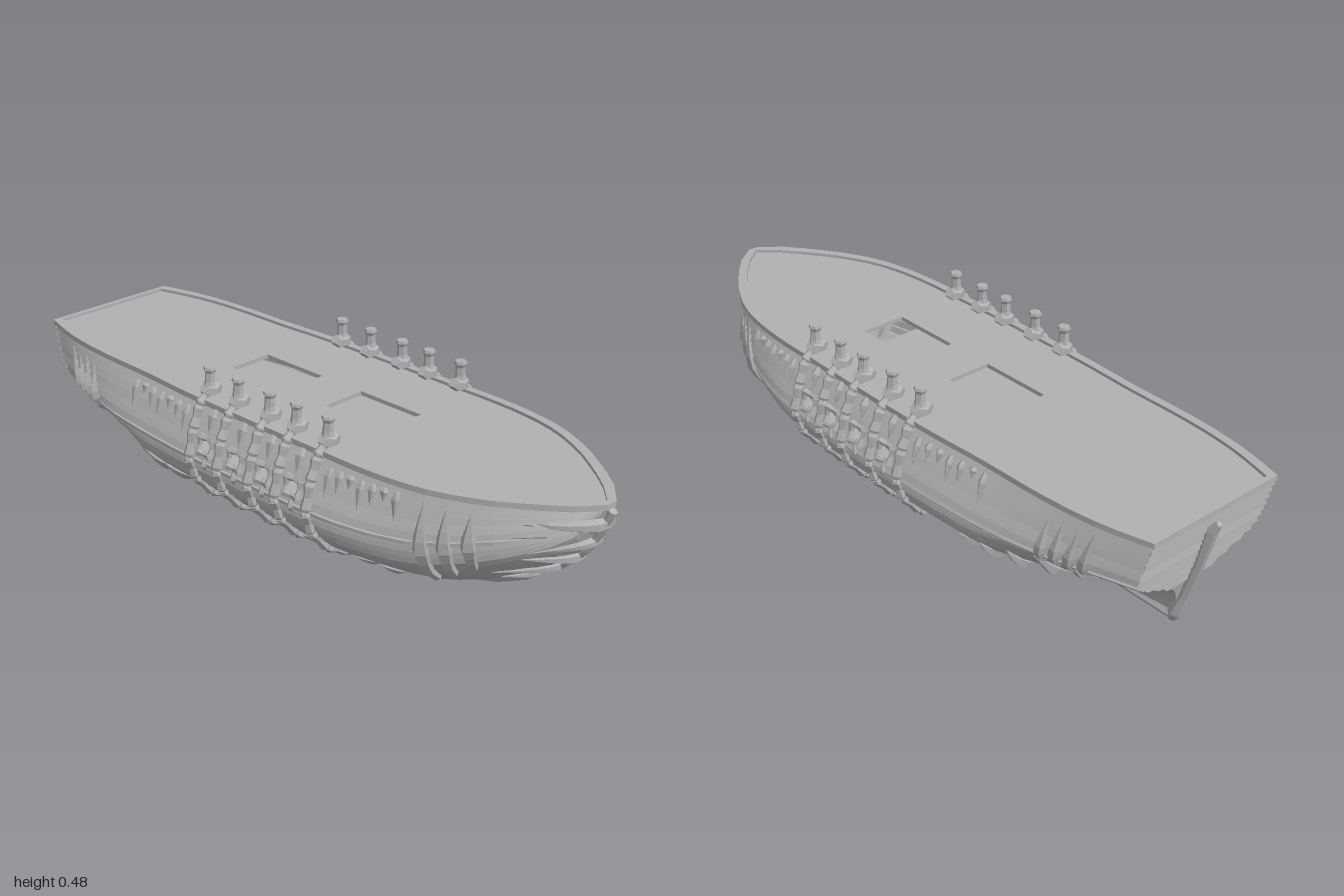
import * as THREE from 'three';

const V = (x, y, z) => new THREE.Vector3(x, y, z);
const TOP = 0.4;
const step = (a, b, x) => { const t = Math.min(1, Math.max(0, (x - a) / (b - a))); return t * t * (3 - 2 * t); };

// Smooth lookup through [key, value] pairs
function look(table, x) {
  const n = table.length - 1;
  if (x <= table[0][0]) return table[0][1];
  if (x >= table[n][0]) return table[n][1];
  let i = 0;
  while (x > table[i + 1][0]) i++;
  const slope = (j) => {
    const a = table[Math.max(0, j - 1)], b = table[Math.min(n, j + 1)];
    return (b[1] - a[1]) / (b[0] - a[0]);
  };
  const [x0, y0] = table[i], [x1, y1] = table[i + 1], h = x1 - x0, t = (x - x0) / h;
  const t2 = t * t, t3 = t2 * t;
  return y0 * (2 * t3 - 3 * t2 + 1) + y1 * (3 * t2 - 2 * t3) + h * (slope(i) * (t3 - 2 * t2 + t) + slope(i + 1) * (t3 - t2));
}

// Hull lines: half breadth and keel height along z, section shapes from keel (0) to rail (1)
const breadth = [[-0.97, 0.215], [-0.8, 0.265], [-0.6, 0.305], [-0.4, 0.325], [-0.2, 0.336], [0.2, 0.336], [0.4, 0.325], [0.6, 0.275], [0.75, 0.2], [0.85, 0.13], [0.92, 0.075], [0.975, 0.008]];
const keelLine = [[-0.97, 0.03], [0.4, 0.03], [0.55, 0.035], [0.65, 0.065], [0.75, 0.115], [0.85, 0.185], [0.92, 0.255], [0.96, 0.33], [0.98, 0.388]];
const midSection = [[0, 0], [0.04, 0.29], [0.135, 0.6], [0.27, 0.83], [0.46, 0.97], [0.6, 1], [0.81, 0.94], [1, 0.85]];
const sternSection = [[0, 0.02], [0.15, 0.06], [0.3, 0.2], [0.42, 0.5], [0.52, 0.85], [0.6, 0.97], [0.8, 1], [1, 0.99]];
const bowSection = [[0, 0], [0.06, 0.28], [0.15, 0.5], [0.3, 0.74], [0.5, 0.9], [0.7, 0.97], [1, 1]];

function hullX(z, u) {
  const s = step(-0.4, -0.97, z), b = step(0.25, 0.85, z);
  return look(breadth, z) * (look(midSection, u) * (1 - s - b) + look(sternSection, u) * s + look(bowSection, u) * b);
}
function hullPoint(z, u, side = 1, out = 0) {
  const k = look(keelLine, z), y = k + (TOP - k) * u;
  const rake = step(-0.55, -0.97, z) * (TOP - y) * 0.27;
  return V(side * (hullX(z, u) + out), y, z + rake);
}
// Position along the bow where the hull is x wide at height y
function bowZ(x, y) {
  let lo = 0.3, hi = 0.975;
  for (let i = 0; i < 24; i++) {
    const m = (lo + hi) / 2, k = look(keelLine, m), u = (y - k) / (TOP - k);
    if (u > 0 && hullX(m, u) > Math.abs(x)) lo = m; else hi = m;
  }
  return lo;
}

function fromTriangles(pos) {
  const g = new THREE.BufferGeometry();
  g.setAttribute('position', new THREE.Float32BufferAttribute(pos, 3));
  g.computeVertexNormals();
  return g;
}
function addQuad(pos, a, b, c, d) {
  for (const p of [a, b, c, a, c, d]) pos.push(p.x, p.y, p.z);
}

// Faceted tube with a radius at each point
function taper(points, radii, sides = 6) {
  const rings = points.map((p, i) => {
    const t = points[Math.min(i + 1, points.length - 1)].clone().sub(points[Math.max(i - 1, 0)]).normalize();
    const ref = Math.abs(t.z) > 0.8 ? V(0, 1, 0) : V(0, 0, 1);
    const n = ref.clone().cross(t).normalize(), b = t.clone().cross(n);
    return Array.from({ length: sides }, (_, j) => {
      const a = (j / sides) * Math.PI * 2;
      return p.clone().addScaledVector(n, Math.cos(a) * radii[i]).addScaledVector(b, Math.sin(a) * radii[i]);
    });
  });
  const pos = [];
  for (let i = 0; i < rings.length - 1; i++) {
    for (let j = 0; j < sides; j++) {
      const k = (j + 1) % sides;
      addQuad(pos, rings[i][j], rings[i][k], rings[i + 1][k], rings[i + 1][j]);
    }
  }
  const last = rings.length - 1;
  for (let j = 0; j < sides; j++) {
    const k = (j + 1) % sides;
    addQuad(pos, points[0], rings[0][k], rings[0][j], points[0]);
    addQuad(pos, points[last], rings[last][j], rings[last][k], points[last]);
  }
  return fromTriangles(pos);
}

export function createModel() {
  const model = new THREE.Group();
  const wood = new THREE.MeshStandardMaterial({ color: 0xb0b0b0, flatShading: true, side: THREE.DoubleSide });
  wood.name = 'grey';
  const add = (name, geometry) => {
    const m = new THREE.Mesh(geometry, wood);
    m.name = name;
    model.add(m);
    return m;
  };

  // Planked hull with open gun ports
  const ports = [0.222, 0.112, 0, -0.122], portHalf = 0.022;
  const stations = [];
  for (let i = 0; i <= 38; i++) stations.push(-0.97 + (i * 1.945) / 38);
  const zs = stations.filter((z) => ports.every((p) => Math.abs(z - p) > portHalf + 0.006));
  ports.forEach((p) => zs.push(p - portHalf, p + portHalf));
  zs.sort((a, b) => a - b);
  const us = [0, 0.02, 0.05, 0.1, 0.16, 0.23, 0.3, 0.37, 0.43, 0.49, 0.54, 0.6, 0.662, 0.71, 0.757, 0.82, 0.88, 0.94, 1];
  const lap = (u) => (u < 0.32 ? 0.001 : 0.008);
  const hull = [], transom = [];
  for (let j = 0; j < us.length - 1; j++) {
    const u0 = us[j], u1 = us[j + 1], o = lap(u0);
    for (const side of [1, -1]) {
      for (let i = 0; i < zs.length - 1; i++) {
        const za = zs[i], zb = zs[i + 1], mid = (za + zb) / 2;
        if (u0 > 0.65 && u1 < 0.76 && ports.some((p) => Math.abs(mid - p) < portHalf)) continue;
        const q = [hullPoint(za, u0, side, o), hullPoint(za, u1, side), hullPoint(zb, u1, side), hullPoint(zb, u0, side, o)];
        const lip = [hullPoint(za, u0, side), q[0], q[3], hullPoint(zb, u0, side)];
        if (side < 0) { q.reverse(); lip.reverse(); }
        addQuad(hull, q[3], q[2], q[1], q[0]);
        addQuad(hull, lip[3], lip[2], lip[1], lip[0]);
      }
    }
    const back = (u, s, d) => hullPoint(-0.97, u, s, d).add(V(0, 0, -d));
    addQuad(transom, back(u0, 1, o), back(u0, -1, o), back(u1, -1, 0), back(u1, 1, 0));
    addQuad(transom, back(u0, 1, 0), back(u0, -1, 0), back(u0, -1, o), back(u0, 1, o));
  }
  add('hull', fromTriangles(hull));
  add('transom', fromTriangles(transom));

  // Decks and rail cut from the hull outline
  const outline = (u, grow, zMin = -0.97, zMax = 0.975) => {
    const inside = zs.filter((z) => z >= zMin && z <= zMax);
    const edge = (s) => inside.map((z) => {
      const p = hullPoint(z, u, s);
      return new THREE.Vector2(s * Math.max(0.001, s * p.x + grow), -p.z * (1 + grow * 0.7));
    });
    return edge(1).concat(edge(-1).reverse());
  };
  const slab = (shape, y, depth) =>
    new THREE.ExtrudeGeometry(shape, { depth, bevelEnabled: false }).rotateX(-Math.PI / 2).translate(0, y, 0);
  const deck = new THREE.Shape(outline(1, -0.004));
  for (const [z0, z1] of [[-0.305, -0.075], [0.08, 0.305]]) {
    deck.holes.push(new THREE.Path([[-0.07, -z0], [0.07, -z0], [0.07, -z1], [-0.07, -z1]].map((p) => new THREE.Vector2(...p))));
  }
  add('deck', slab(deck, 0.385, 0.012));
  add('lowerDeck', slab(new THREE.Shape(outline(0.55, -0.008, -0.8, 0.5)), 0.225, 0.008));
  const rail = new THREE.Shape(outline(1, 0.009));
  rail.holes.push(new THREE.Path(outline(1, -0.014)));
  add('rail', slab(rail, 0.39, 0.016));

  // Keel, stem and stern post
  const keelZ = [-0.88, -0.4, 0, 0.4, 0.55, 0.65, 0.75, 0.85, 0.92, 0.96, 0.985];
  add('keelAndStem', taper(keelZ.map((z) => V(0, look(keelLine, z) - 0.003, z)), keelZ.map((z) => (z > 0.8 ? 0.013 : 0.015))));
  add('sternPost', taper([V(0, 0.365, -0.985), V(0, 0.34, -0.965), V(0, 0.22, -0.937), V(0, 0.1, -0.9), V(0, 0.04, -0.878), V(0, 0.015, -0.868)], [0.008, 0.018, 0.014, 0.015, 0.022, 0.014]));

  // A tooth lying on the hull, thickest where peak says
  const tooth = (name, z, u0, u1, r, side, peak = 0.4, lean = 0) => {
    const pts = [], rad = [];
    for (let i = 0; i <= 7; i++) {
      const t = i / 7;
      pts.push(hullPoint(z + lean * t, u0 + (u1 - u0) * t, side, 0.006));
      rad.push(Math.max(0.001, r * (t < peak ? 0.45 + (0.55 * t) / peak : (1 - t) / (1 - peak))));
    }
    add(name, taper(pts, rad, 5));
  };

  const ribs = [0.28, 0.163, 0.06, -0.065, -0.182];
  for (const side of [1, -1]) {
    // Jointed ribs wrapping the hull, each ending in a knob and post above the rail
    for (const z of ribs) {
      const joints = [0, 0.035, 0.11, 0.22, 0.4, 0.58, 0.8, 0.97].map((u) => hullPoint(z, u, side, u > 0.1 ? 0.011 : 0.004));
      joints.push(V(side * 0.262, 0.43, z));
      for (let i = 0; i < joints.length - 1; i++) {
        const a = joints[i], b = joints[i + 1], at = (t) => a.clone().lerp(b, t);
        add('ribSegment', taper([at(0), at(0.12), at(0.5), at(0.88), at(1)], [0.012, 0.017, 0.012, 0.017, 0.012]));
      }
      const knob = add('ribKnob', new THREE.DodecahedronGeometry(0.026));
      knob.position.set(side * 0.258, 0.425, z);
      knob.scale.set(1.35, 0.85, 1.1);
      add('ribPost', taper([V(side * 0.262, 0.425, z), V(side * 0.262, 0.45, z), V(side * 0.261, 0.475, z), V(side * 0.261, 0.485, z), V(side * 0.261, 0.493, z)], [0.022, 0.015, 0.014, 0.019, 0.017]));
    }
    // Gun port frames
    for (const z of ports) {
      const c = [[-1, 0.65], [1, 0.65], [1, 0.77], [-1, 0.77]].map(([d, u]) => hullPoint(z + d * (portHalf + 0.003), u, side, 0.008));
      c.forEach((p, i) => {
        const q = c[(i + 1) % 4], m = p.clone().lerp(q, 0.5);
        add('portFrame', taper([p, m, q], [0.012, 0.007, 0.012], 5));
      });
      tooth('portFang', z, 0.98, 0.8, 0.016, side, 0.3);
      tooth('portBracket', z, 0.53, 0.65, 0.012, side, 0.3);
    }
    // Wale along the side
    const waleZ = zs.filter((z, i) => i % 2 === 0 && z < 0.9);
    add('wale', taper(waleZ.map((z) => hullPoint(z, 0.57, side, 0.002)), waleZ.map(() => 0.008), 5));
    // Short teeth hanging below the rail
    for (let i = 0; i < 7; i++) {
      const drop = 0.72 + 0.06 * (i % 3);
      tooth('railTooth', 0.33 + i * 0.035, 0.94, drop, 0.013, side, 0.25);
      tooth('railTooth', -0.23 - i * 0.04, 0.94, drop + 0.02 * (i % 2), 0.013, side, 0.25);
    }
    // Large teeth at bow and stern quarters
    [0.6, 0.655, 0.71].forEach((z, i) => tooth('bowTusk', z, 0.2 + 0.05 * i, 0.92 - 0.03 * i, 0.025, side, 0.45, 0.015));
    [-0.68, -0.725, -0.77, -0.815].forEach((z, i) => tooth('sternTusk', z, 0.5, 0.88 + 0.04 * (i % 2), 0.018, side, 0.35, -0.015));
    // Teeth curving up from the keel
    [-0.36, -0.44, -0.52, -0.6, -0.68].forEach((z, i) => tooth('bottomTusk', z, 0.03, 0.3 + 0.035 * i, 0.022, side, 0.4, -0.01));
    [0.44, 0.36, 0.22, -0.27].forEach((z) => tooth('smallBottomTusk', z, 0.02, 0.19, 0.018, side, 0.4));
  }

  // Crescent spikes crossing the stem
  for (const [y, w, r, droop] of [[0.345, 0.16, 0.02, 0], [0.285, 0.12, 0.015, 0.035], [0.228, 0.12, 0.018, 0], [0.182, 0.13, 0.016, 0.02], [0.135, 0.09, 0.013, 0]]) {
    const pts = [], rad = [];
    for (let i = 0; i <= 12; i++) {
      const t = i / 6 - 1, x = t * w, yy = y - droop * t * t;
      pts.push(V(x, yy, bowZ(Math.max(0.02, Math.abs(x)), yy) + 0.004));
      rad.push(Math.max(0.001, r * (1 - Math.abs(t) ** 1.5)));
    }
    add('bowCrescent', taper(pts, rad, 6));
  }
  return model;
}
